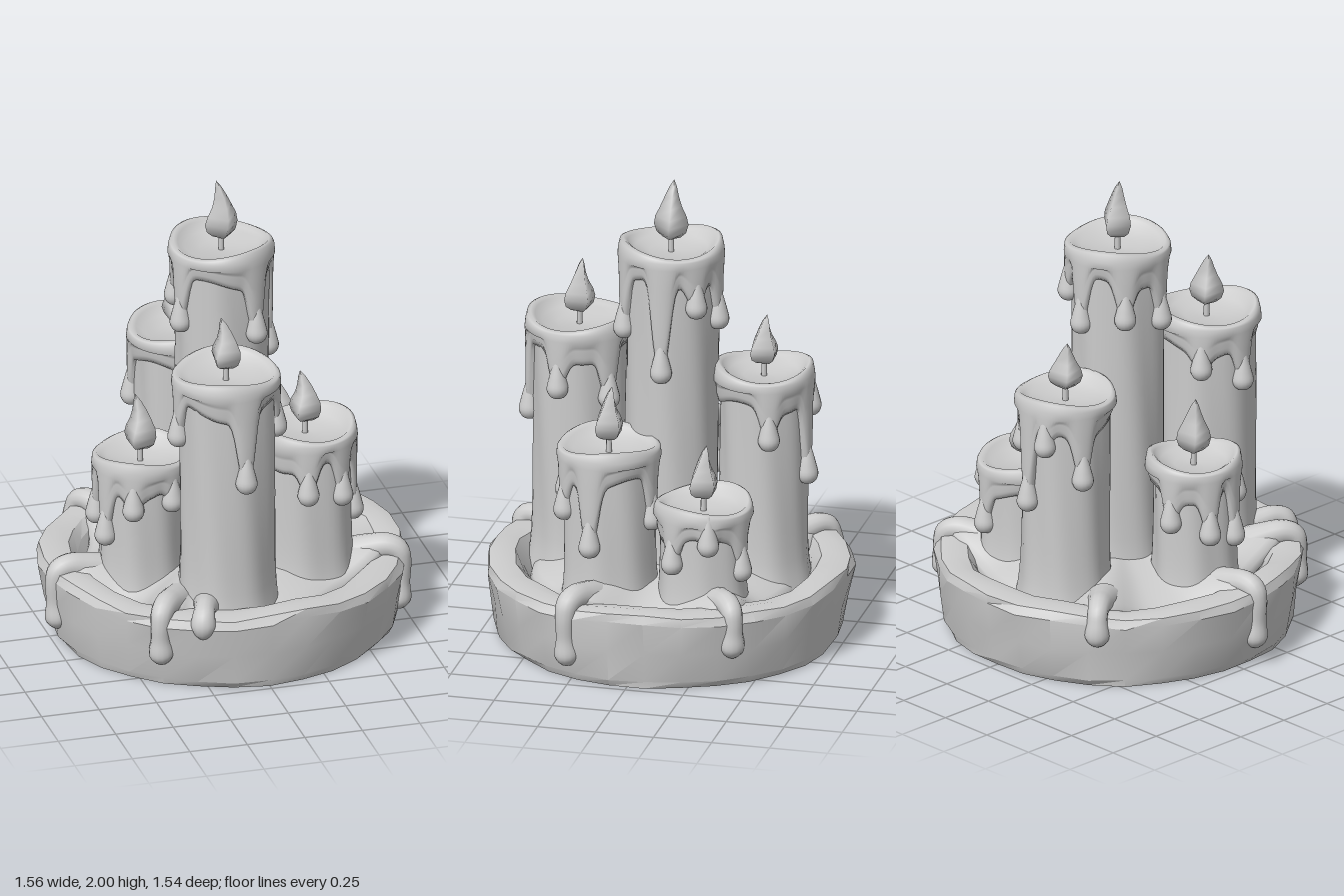
import * as THREE from 'three';
import { mergeVertices, toCreasedNormals } from 'three/addons/utils/BufferGeometryUtils.js';

const wax = new THREE.MeshStandardMaterial({ color: 0xcccccc });
wax.name = 'pale grey';

const rad = THREE.MathUtils.degToRad;
// Shortest distance between two angles
const gap = (a, b) => Math.abs(Math.atan2(Math.sin(a - b), Math.cos(a - b)));
// Bell curve, 1 at zero
const bell = (d, width) => Math.exp(-Math.pow(d / width, 2));

// Closed surface: rows run up the outside, angle 0 faces the front and 90 degrees is +x.
// point(angle, row) returns [radius, y]
function ringSurface(rows, sides, point) {
  const pos = [], index = [];
  for (let i = 0; i < rows; i++) {
    for (let j = 0; j < sides; j++) {
      const a = (j / sides) * Math.PI * 2;
      const [r, y] = point(a, i);
      pos.push(Math.sin(a) * r, y, Math.cos(a) * r);
      if (i === rows - 1) continue;
      const p = i * sides + j, q = i * sides + ((j + 1) % sides);
      index.push(p, q, q + sides, p, q + sides, p + sides);
    }
  }
  const g = new THREE.BufferGeometry();
  g.setAttribute('position', new THREE.Float32BufferAttribute(pos, 3));
  g.setIndex(index);
  g.computeVertexNormals();
  return g;
}

function add(parent, name, geometry) {
  const m = new THREE.Mesh(geometry, wax);
  m.name = name;
  parent.add(m);
  return m;
}

// Rough stone dish with a hollow top
function dishGeometry() {
  const profile = [[0, 0], [0.715, 0], [0.73, 0.03], [0.75, 0.16], [0.77, 0.29], [0.755, 0.325],
    [0.7, 0.335], [0.64, 0.325], [0.605, 0.28], [0.57, 0.2], [0, 0.2]];
  const g = ringSurface(profile.length, 30, (a, i) => {
    const [r, y] = profile[i];
    const rough = 1 + 0.01 * Math.sin(5 * a + i * 0.9) + 0.007 * Math.sin(11 * a + i * 2.1);
    const lift = i > 3 && i < 8 ? 0.01 * Math.sin(4 * a + 1) + 0.006 * Math.sin(9 * a) : 0;
    return [r * rough, y + lift];
  });
  return toCreasedNormals(g, 0.45);
}

// Overflow spouts: [angle in degrees, reach, width, lowest y of the drip]
const spouts = [[-36, 0.14, 0.2, 0.1], [-22, 0.1, 0.14, 0.25], [69, 0.14, 0.24, 0.06],
  [-84, 0.14, 0.22, 0.07], [125, 0.14, 0.22, 0.13], [-141, 0.12, 0.2, 0.19]];

// Spilled wax filling the dish, reaching the rim at each spout
function puddleGeometry() {
  const rows = [[0.96, 0.19], [1, 0.22], [0.985, 0.25], [0.94, 0.272], [0.85, 0.29],
    [0.65, 0.33], [0.35, 0.35], [0, 0.36]];
  return ringSurface(rows.length, 120, (a, i) => {
    let reach = 0;
    for (const [deg, amount, width] of spouts) reach = Math.max(reach, amount * bell(gap(a, rad(deg)), width));
    const [f, y] = rows[i];
    const edge = 0.565 + 0.015 * Math.sin(3 * a + 1) + reach;
    return [f * edge, y + (reach / 0.14) * 0.11 * f * f];
  });
}

// Tapered drip running over the rim, ending in a bead
function overflowGeometry(deg, low) {
  const a = rad(deg);
  const path = [[0.52, 0.3], [0.62, 0.335], [0.69, 0.35], [0.735, 0.335], [0.75, 0.29],
    [0.748, (0.29 + low) / 2], [0.735, low]];
  const curve = new THREE.CatmullRomCurve3(
    path.map(([r, y]) => new THREE.Vector3(Math.sin(a) * r, y, Math.cos(a) * r)));
  const n = 40, sides = 14, length = curve.getLength();
  const g = new THREE.TubeGeometry(curve, n, 1, sides, false);
  const p = g.attributes.position, v = new THREE.Vector3();
  for (let k = 0; k < p.count; k++) {
    const t = Math.floor(k / (sides + 1)) / n, c = curve.getPointAt(t);
    const left = (1 - t) * length;
    const neck = 0.036 + 0.04 * (1 - t) * (1 - t);
    const bead = 0.016 * bell(left - 0.055, 0.05);
    const short = Math.max(0, 1 - left / 0.055);
    const tip = Math.sqrt(1 - short * short);
    v.fromBufferAttribute(p, k).sub(c).multiplyScalar((neck + bead) * tip).add(c);
    p.setXYZ(k, v.x, v.y, v.z);
  }
  g.deleteAttribute('uv');
  g.deleteAttribute('normal');
  const merged = mergeVertices(g, 1e-5);
  merged.computeVertexNormals();
  return merged;
}

// Fluted candle shaft, spreading slightly at the foot
function shaftGeometry(top, r, phase) {
  const n = 14;
  return ringSurface(n, 48, (a, i) => {
    const y = 0.22 + (i / (n - 1)) * (top - 0.32);
    const flute = 0.006 * Math.sin(3 * a + phase + 2 * y) + 0.004 * Math.sin(7 * a - phase + 3 * y);
    return [r + flute + 0.03 * Math.exp((0.22 - y) * 12), y];
  });
}

// Melted cap: wavy rim, hollow top, and a skirt that lengthens at each drip
function capGeometry(top, R, r, drips, phase) {
  return ringSurface(14, 112, (a, i) => {
    const skirt = 0.15 + 0.025 * Math.sin(3 * a + phase);
    let L = skirt, d = 0;
    for (const [deg, low] of drips) {
      const k = Math.exp(-Math.pow(gap(a, rad(deg)) / 0.23, 2.8));
      L = Math.max(L, skirt + (top - low - 0.05 - skirt) * k);
      d = Math.max(d, k);
    }
    const rim = top - 0.012 + 0.016 * Math.sin(2 * a + phase);
    const under = r + 0.012 + 0.012 * d;
    return [
      [r - 0.02, top - L + 0.015], [r + 0.008, top - L], [under, top - L + 0.02],
      [under + 0.004, top - L * 0.8], [under + 0.006, top - L * 0.62],
      [R - 0.012 + 0.01 * d, top - Math.min(L * 0.55, 0.17)], [R, top - 0.07], [R - 0.003, top - 0.04],
      [R * 0.955, rim - 0.008], [R * 0.89, rim], [R * 0.81, rim - 0.014],
      [R * 0.68, top - 0.045], [R * 0.4, top - 0.06], [0, top - 0.065],
    ][i];
  });
}

// Teardrop bead at the end of a drip
const beadGeometry = new THREE.LatheGeometry(
  new THREE.SplineCurve([[0.0001, 0], [0.03, 0.01], [0.046, 0.042], [0.038, 0.085], [0.026, 0.13], [0.012, 0.18]]
    .map(([x, y]) => new THREE.Vector2(x, y))).getPoints(18), 18);

// Four-sided flame that twists and leans toward its tip; rows are [height, radius, lean]
function flameGeometry(h, turn) {
  const rows = [[0, 0, 0], [0.018, 0.04, 0], [0.1, 0.063, 0], [0.24, 0.073, 0], [0.38, 0.066, 0.002],
    [0.55, 0.046, 0.002], [0.72, 0.03, -0.003], [0.88, 0.016, -0.012], [1, 0, -0.02]];
  const g = ringSurface(rows.length, 4, (a, i) => [rows[i][1], rows[i][0] * h]);
  const p = g.attributes.position;
  for (let k = 0; k < p.count; k++) {
    const [t, , lean] = rows[Math.floor(k / 4)];
    const c = Math.cos(turn + t * 0.4), s = Math.sin(turn + t * 0.4), x = p.getX(k), z = p.getZ(k);
    p.setXYZ(k, x * c + z * s + lean, p.getY(k), z * c - x * s + lean * 0.4);
  }
  g.computeVertexNormals();
  return g;
}

// Drips are [angle in degrees, lowest y]
const candles = [
  { name: 'centreCandle', x: 0, z: -0.01, top: 1.75, tip: 2, R: 0.225, turn: 0,
    drips: [[92, 1.17], [30, 1.32], [178, 1.36], [-72, 1.36], [135, 1.45], [-125, 1.4]] },
  { name: 'frontCandle', x: -0.1, z: 0.41, top: 1.35, tip: 1.57, R: 0.23, turn: 35,
    drips: [[8, 0.85], [-88, 1.01], [78, 1.02], [140, 0.97], [-140, 1.08]] },
  { name: 'rightFrontCandle', x: 0.31, z: 0.18, top: 0.95, tip: 1.17, R: 0.22, turn: 45,
    drips: [[-12, 0.64], [35, 0.61], [80, 0.48], [168, 0.57]] },
  { name: 'rightBackCandle', x: 0.32, z: -0.23, top: 0.73, tip: 0.95, R: 0.21, turn: 45,
    drips: [[60, 0.43], [160, 0.39], [110, 0.53]] },
  { name: 'backCandle', x: -0.08, z: -0.39, top: 1.2, tip: 1.4, R: 0.215, turn: 45,
    drips: [[172, 0.68], [110, 0.87], [-112, 0.8], [-160, 0.95]] },
  { name: 'leftCandle', x: -0.375, z: 0.07, top: 0.86, tip: 1.1, R: 0.205, turn: 45,
    drips: [[-68, 0.46], [-112, 0.5], [-25, 0.6], [30, 0.62], [-165, 0.55]] },
];

export function createModel() {
  const model = new THREE.Group();
  model.name = 'candleCluster';
  add(model, 'stoneDish', dishGeometry());
  add(model, 'waxPuddle', puddleGeometry());
  for (const [deg, , , low] of spouts) add(model, 'overflowDrip', overflowGeometry(deg, low));

  candles.forEach(({ name, x, z, top, tip, R, turn, drips }, k) => {
    const candle = new THREE.Group();
    candle.name = name;
    candle.position.set(x, 0, z);
    model.add(candle);
    const r = R - 0.032, phase = k * 1.7 + 0.5;
    add(candle, 'shaft', shaftGeometry(top, r, phase));
    add(candle, 'meltedCap', capGeometry(top, R, r, drips, phase));
    for (const [deg, low] of drips) {
      const a = rad(deg);
      const bead = add(candle, 'dripBead', beadGeometry);
      bead.position.set(Math.sin(a) * (r + 0.012), low, Math.cos(a) * (r + 0.012));
    }
    const base = Math.max(top + 0.005, tip - 0.25);
    const wick = add(candle, 'wick', new THREE.CylinderGeometry(0.011, 0.013, base - top + 0.11, 8));
    wick.position.y = (base + top - 0.05) / 2;
    const flame = add(candle, 'flame', flameGeometry(tip - base + 0.01, rad(turn)));
    flame.position.y = base - 0.01;
  });
  return model;
}
